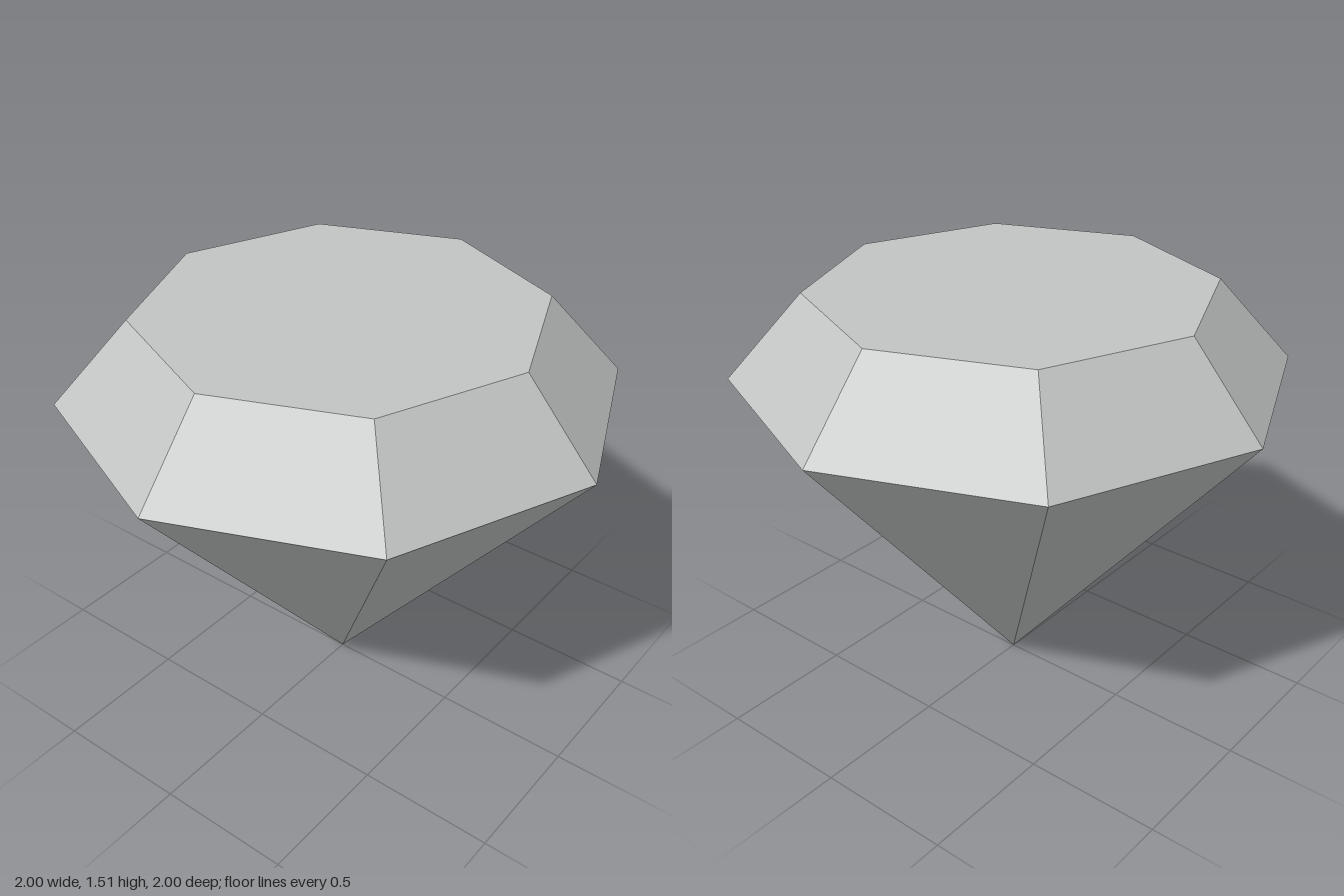
import * as THREE from 'three';

const SIDES = 8;
const GIRDLE_Y = 1.21;
const TOP_Y = 1.515;
const GIRDLE_R = 1;
const TABLE_R = 0.725;

export function createModel() {
  const gem = new THREE.Group();
  gem.name = 'gem';

  const stone = new THREE.MeshStandardMaterial({ color: 0xc2c4c3 });
  stone.name = 'pale grey stone';
  stone.flatShading = true;

  const add = (name, geometry, y) => {
    const mesh = new THREE.Mesh(geometry, stone);
    mesh.name = name;
    mesh.position.y = y;
    gem.add(mesh);
    return mesh;
  };

  // Crown: sloping facets between the girdle and the table
  const crownHeight = TOP_Y - GIRDLE_Y;
  add('crown', new THREE.CylinderGeometry(TABLE_R, GIRDLE_R, crownHeight, SIDES, 1, true), GIRDLE_Y + crownHeight / 2);

  // Table: flat octagonal top, turned so a corner faces the front
  const table = add('table', new THREE.CircleGeometry(TABLE_R, SIDES), TOP_Y);
  table.rotation.x = -Math.PI / 2;

  // Pavilion: long facets meeting in a point at the bottom
  add('pavilion', new THREE.CylinderGeometry(GIRDLE_R, 0, GIRDLE_Y, SIDES, 1, true), GIRDLE_Y / 2);

  return gem;
}
